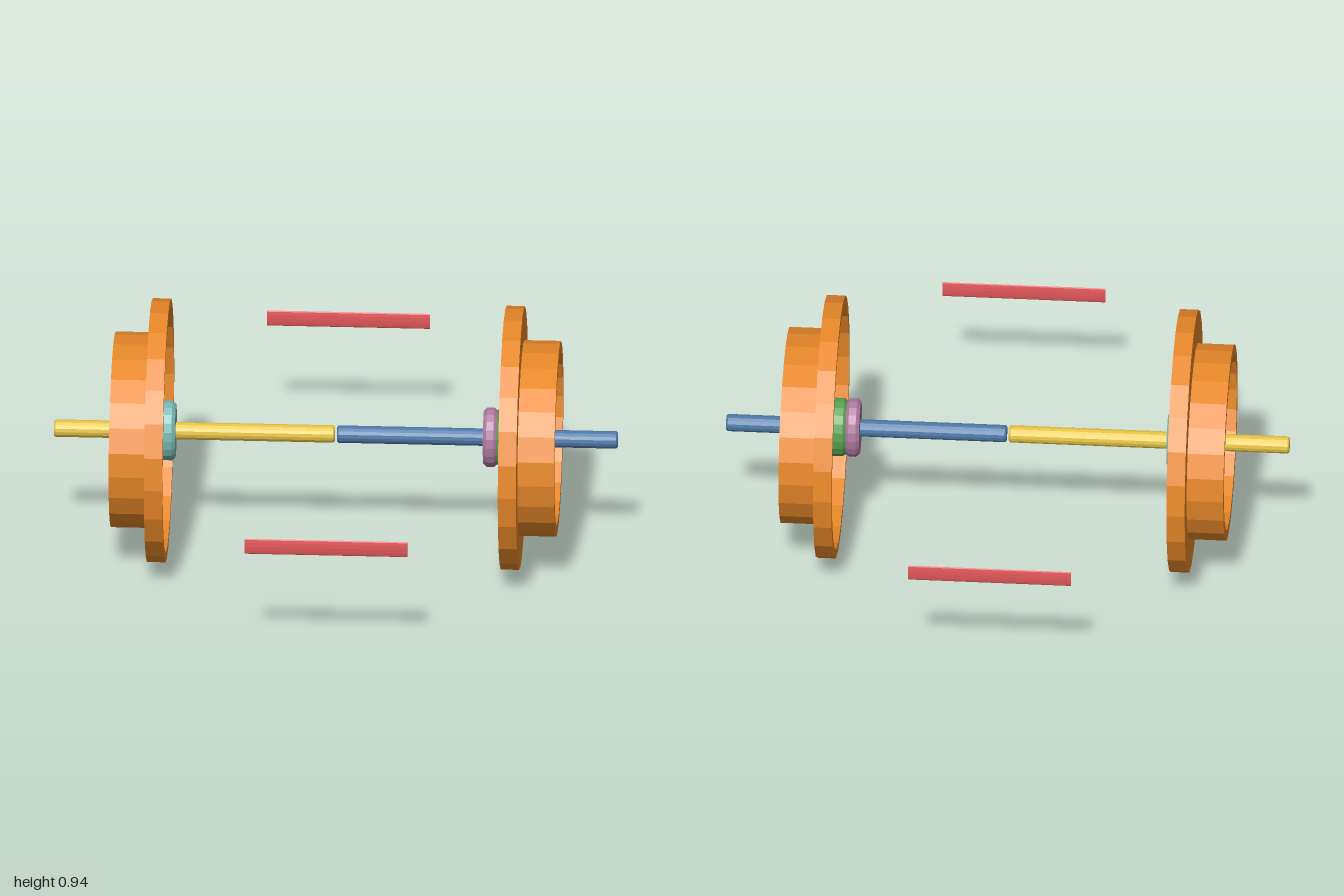
import * as THREE from 'three';

const AXIS_Y = 0.468;

function paint(name, color) {
  const m = new THREE.MeshStandardMaterial({ color });
  m.name = name;
  m.flatShading = true;
  return m;
}

// Lathe around the x axis; profile points are [radius, x]
function turned(name, profile, material, sides = 24, sy = 1, sz = 1) {
  const geo = new THREE.LatheGeometry(profile.map(([r, x]) => new THREE.Vector2(r, x)), sides);
  geo.rotateZ(-Math.PI / 2);
  geo.scale(1, sy, sz);
  const mesh = new THREE.Mesh(geo, material);
  mesh.name = name;
  return mesh;
}

// Solid disc with softened rims between x0 and x1
function disc(name, x0, x1, r, bevel, material, sides, sy, sz) {
  return turned(name, [
    [0, x0], [r - bevel, x0], [r, x0 + bevel], [r, x1 - bevel], [r - bevel, x1], [0, x1],
  ], material, sides, sy, sz);
}

// Wheel on the +x side: dished flange inside, oval tread outside
function makeWheel(name, orange) {
  const wheel = new THREE.Group();
  wheel.name = name;
  wheel.add(
    turned('flange', [
      [0, 0.65], [0.43, 0.65], [0.435, 0.595], [0.468, 0.595], [0.468, 0.66], [0.3, 0.66],
    ], orange),
    turned('tread', [
      [0.37, 0.655], [0.37, 0.79], [0.328, 0.79], [0.325, 0.74], [0, 0.735],
    ], orange, 24, 0.92, 1),
    disc('hub', 0.61, 0.67, 0.085, 0.004, orange, 20),
  );
  return wheel;
}

export function createModel() {
  const orange = paint('wheel orange', 0xf28e2b);
  const blue = paint('axle blue', 0x4e79a7);
  const yellow = paint('axle yellow', 0xedc948);
  const teal = paint('collar teal', 0x76b7b2);
  const green = paint('collar green', 0x59a14f);
  const purple = paint('collar purple', 0xb07aa1);
  const red = paint('rail red', 0xe15759);

  const model = new THREE.Group();
  model.name = 'wheelset';

  const assembly = new THREE.Group();
  assembly.name = 'axleAssembly';
  assembly.position.y = AXIS_Y;
  model.add(assembly);

  // Wheels
  const rightWheel = makeWheel('rightWheel', orange);
  rightWheel.rotation.y = Math.PI;
  assembly.add(makeWheel('leftWheel', orange), rightWheel);

  // Two half axles meeting at the middle
  assembly.add(
    disc('leftAxle', 0.004, 1, 0.031, 0.006, blue, 16),
    disc('rightAxle', -1, -0.004, 0.031, 0.006, yellow, 16),
  );

  // Collars beside the wheels
  assembly.add(
    disc('rightCollar', -0.625, -0.568, 0.11, 0.012, teal, 20, 1, 0.82),
    disc('leftOuterCollar', 0.572, 0.63, 0.108, 0.01, green, 20, 1, 0.87),
    disc('leftInnerCollar', 0.524, 0.574, 0.11, 0.012, purple, 20, 1, 0.82),
  );

  // Thin side rails in front and behind
  for (const [name, z] of [['frontRail', 0.873], ['backRail', -0.877]]) {
    const rail = disc(name, -0.285, 0.293, 0.03, 0.0005, red, 12, 1, 0.16);
    rail.position.z = z;
    assembly.add(rail);
  }

  return model;
}
